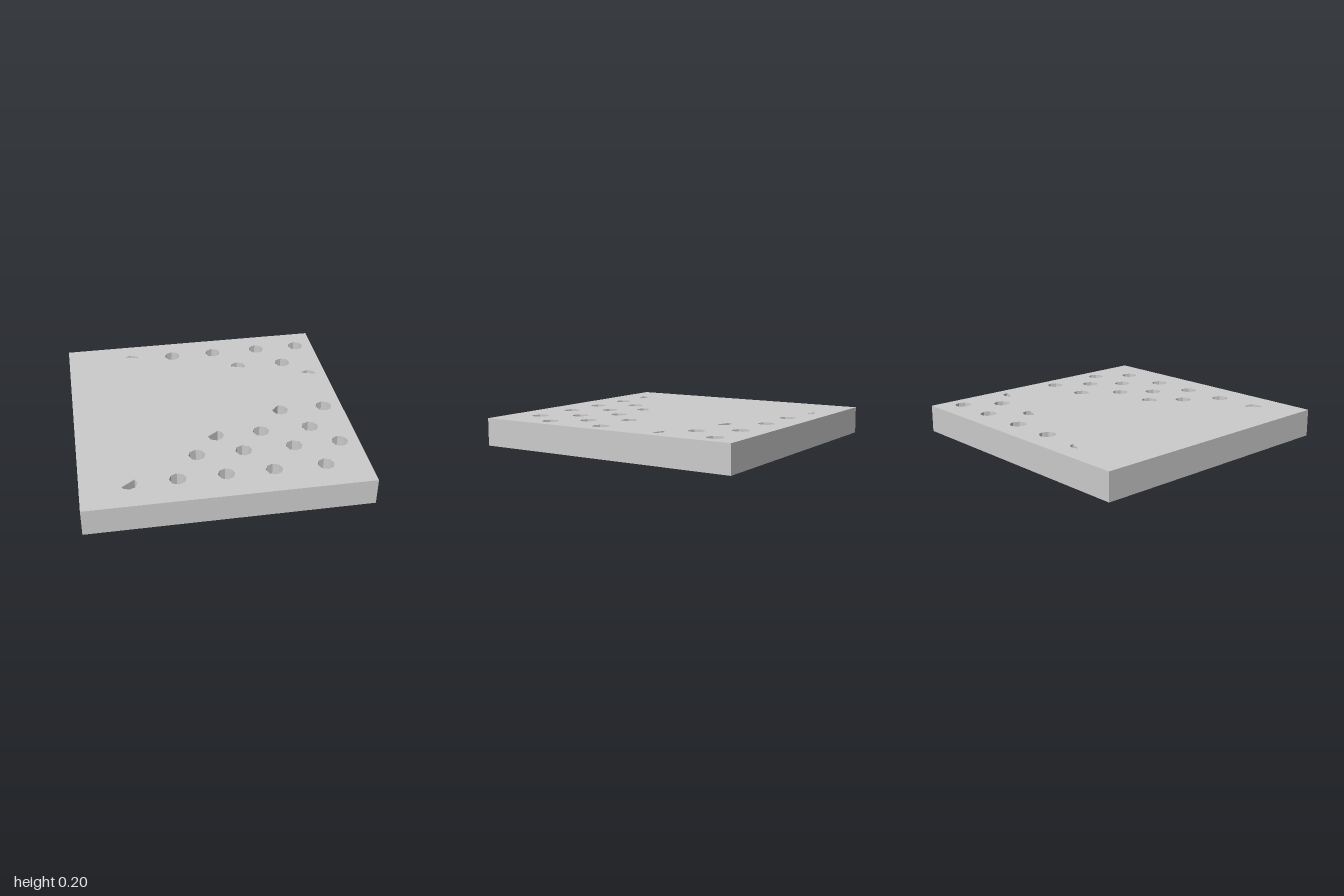
import * as THREE from 'three';
import { mergeGeometries } from 'three/addons/utils/BufferGeometryUtils.js';

const HEIGHT = 0.2, MID = 0.1, RADIUS = 0.06;
const ROWS = [-0.81, -0.57, -0.365, -0.125, 0.085, 0.325, 0.53, 0.77];
const columnX = (i) => i / 6 + (i >= 3 ? 0.03 : 0);

// Lines that trim the pockets next to the solid wedge: [x1, z1, x2, z2]
const BACK = [1, -0.334, -1, -1.006];
const FRONT = [-1, 0.998, 1, -0.42];
const TIP = [0, 0.55, 1, -0.45];

// Pockets of the upper side: [column, row, trimming line]
const POCKETS = [
  [-3, 0, BACK], [-1, 0], [1, 0], [3, 0], [5, 0],
  [2, 1, BACK], [4, 1], [5, 2, BACK],
  [3, 4, TIP], [5, 4],
  [0, 5, FRONT], [2, 5], [4, 5],
  [-1, 6], [1, 6], [3, 6], [5, 6],
  [-4, 7, FRONT], [-2, 7], [0, 7], [2, 7], [4, 7],
];

// Keep the part of a polygon on one side of a line
function trim(points, [x1, z1, x2, z2]) {
  const side = ([x, z]) => (x2 - x1) * (z - z1) - (z2 - z1) * (x - x1);
  const out = [];
  points.forEach((a, i) => {
    const b = points[(i + 1) % points.length];
    const sa = side(a), sb = side(b);
    if (sa >= 0) out.push(a);
    if (sa * sb < 0) {
      const t = sa / (sa - sb);
      out.push([a[0] + (b[0] - a[0]) * t, a[1] + (b[1] - a[1]) * t]);
    }
  });
  return out;
}

// Octagonal outlines; the lower side mirrors the pattern across x
function pocketRings(mirror) {
  return POCKETS.map(([col, row, line]) => {
    const cx = columnX(mirror * col);
    let ring = Array.from({ length: 8 }, (_, k) => {
      const a = (k * Math.PI) / 4;
      return [cx + RADIUS * Math.cos(a), ROWS[row] + RADIUS * Math.sin(a)];
    });
    if (!line) return ring;
    const flip = (pts) => pts.map(([x, z]) => [mirror * x, z]);
    ring = flip(trim(flip(ring), line));
    return ring;
  });
}

// Square sheet with openings, facing up (1) or down (-1)
function sheet(half, y, facing, rings) {
  const toVec = ([x, z]) => new THREE.Vector2(x, -facing * z);
  const shape = new THREE.Shape([[-half, half], [half, half], [half, -half], [-half, -half]].map(toVec));
  shape.holes = rings.map((r) => new THREE.Path(r.map(toVec)));
  return new THREE.ShapeGeometry(shape).rotateX((-facing * Math.PI) / 2).translate(0, y, 0);
}

// Upright wall along a closed ring
function wall(ring, y0, y1) {
  const pos = [];
  ring.forEach(([ax, az], i) => {
    const [bx, bz] = ring[(i + 1) % ring.length];
    pos.push(ax, y0, az, bx, y0, bz, bx, y1, bz, ax, y0, az, bx, y1, bz, ax, y1, az);
  });
  const g = new THREE.BufferGeometry();
  g.setAttribute('position', new THREE.Float32BufferAttribute(pos, 3));
  g.computeVertexNormals();
  return g;
}

export function createModel() {
  const group = new THREE.Group();
  const material = new THREE.MeshStandardMaterial({ color: 0xcccccc, flatShading: true });
  const add = (name, geometry) => {
    const mesh = new THREE.Mesh(geometry, material);
    mesh.name = name;
    group.add(mesh);
  };
  const upper = pocketRings(1), lower = pocketRings(-1);

  // Plate faces and rim
  add('topFace', sheet(1, HEIGHT, 1, upper));
  add('bottomFace', sheet(1, 0, -1, lower));
  add('rim', wall([[-1, 1], [1, 1], [1, -1], [-1, -1]], 0, HEIGHT));

  // Pocket walls, meeting halfway through the plate
  add('upperPocketWalls', mergeGeometries(upper.map((r) => wall(r, MID, HEIGHT))));
  add('lowerPocketWalls', mergeGeometries(lower.map((r) => wall(r, 0, MID))));

  // Pocket floors, open where both sides line up
  add('upperPocketFloor', sheet(0.97, MID, 1, lower));
  add('lowerPocketFloor', sheet(0.97, MID, -1, upper));
  return group;
}
